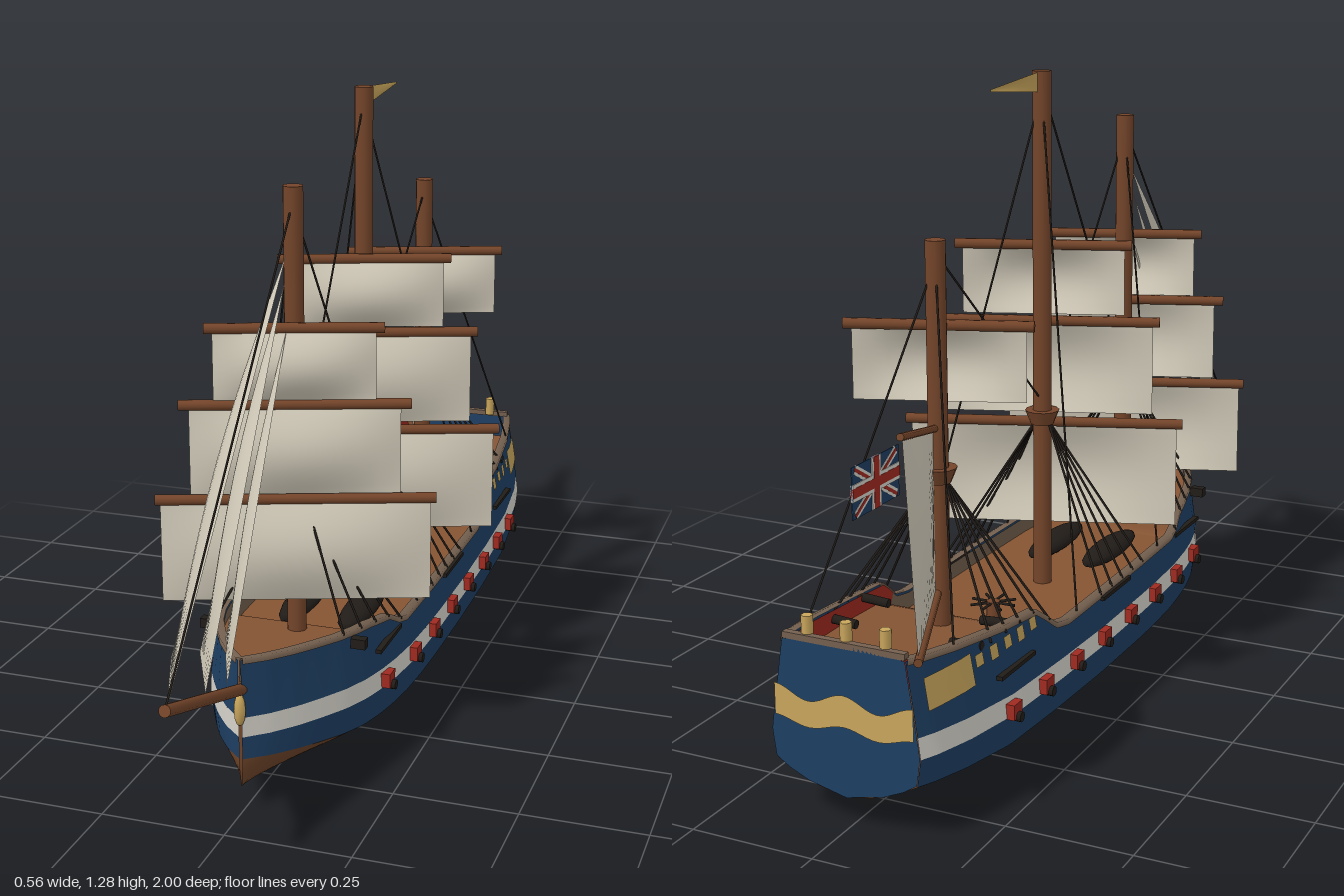
import * as THREE from 'three';

const mat = (name, color, side = THREE.FrontSide) => {
  const m = new THREE.MeshStandardMaterial({ color, side });
  m.name = name;
  return m;
};
const D2 = THREE.DoubleSide;
const M = {
  wood: mat('spar wood', 0x74452a, D2),
  deck: mat('deck planks', 0x855433, D2),
  bottom: mat('hull bottom brown', 0x6e4429, D2),
  blue: mat('hull blue', 0x1e3f63, D2),
  white: mat('stripe white', 0xd6d3ca, D2),
  sail: mat('sail canvas', 0xd0c9b8, D2),
  red: mat('bulwark red', 0xa02a20, D2),
  gold: mat('gilding', 0xc9a65c, D2),
  rail: mat('rail grey brown', 0x74604f, D2),
  black: mat('tarred black', 0x211c18, D2),
};
const V = (x, y, z) => new THREE.Vector3(x, y, z);

// linear lookup in a list of [z, value] pairs, z ascending
const table = (pts) => (z) => {
  if (z <= pts[0][0]) return pts[0][1];
  for (let i = 1; i < pts.length; i++) {
    const [a, va] = pts[i - 1], [b, vb] = pts[i];
    if (z <= b) return va + (vb - va) * (z - a) / (b - a);
  }
  return pts[pts.length - 1][1];
};

// hull lines: half width, keel, waterline, stripe edges, rail and deck heights
const STERN = -0.88, BOW = 0.66;
const W = table([[-.88, .152], [-.84, .165], [-.75, .182], [-.6, .195], [-.4, .2], [0, .2], [.2, .196], [.28, .189],
  [.34, .18], [.4, .166], [.46, .145], [.52, .113], [.57, .083], [.62, .045], [.66, .003]]);
const keel = table([[-.88, .062], [-.7, .025], [-.55, .008], [-.4, 0], [0, 0], [.25, .012], [.45, .028], [.66, .055]]);
const water = table([[-.88, .112], [-.6, .082], [-.2, .07], [.1, .07], [.4, .085], [.66, .112]]);
const stripe = table([[-.88, .165], [-.6, .145], [-.2, .135], [.1, .136], [.4, .145], [.66, .157]]);
const rail = table([[-.88, .345], [-.6, .312], [-.47, .3], [-.44, .28], [-.4, .25], [-.35, .24], [.2, .24],
  [.24, .25], [.28, .272], [.36, .286], [.66, .315]]);
const deckY = table([[-.88, .29], [-.47, .262], [-.455, .2], [.3, .2], [.315, .248], [.66, .27]]);
const STRIPE = 0.04;

function hullX(z, y) {
  const k = keel(z), p = water(z), s = stripe(z), w = W(z);
  if (y < p) return w * .95 * Math.pow(Math.max(0, (y - k) / (p - k)), .6);
  if (y < s) return w * (.95 + .05 * (y - p) / (s - p));
  return w * (1 - Math.max(0, y - .17));
}

// surface through rows of points, each row giving [x, y] at a station z
function loft(z0, z1, n, rows, side = 1) {
  const pos = [], idx = [], c = rows.length;
  for (let i = 0; i <= n; i++) {
    const z = z0 + (z1 - z0) * i / n;
    for (const row of rows) { const [x, y] = row(z); pos.push(x * side, y, z); }
  }
  for (let i = 0; i < n; i++) for (let j = 0; j < c - 1; j++) {
    const a = i * c + j, b = a + 1, d = a + c, e = d + 1;
    if (side > 0) idx.push(a, b, d, b, e, d); else idx.push(a, d, b, b, d, e);
  }
  const g = new THREE.BufferGeometry();
  g.setAttribute('position', new THREE.Float32BufferAttribute(pos, 3));
  g.setIndex(idx);
  g.computeVertexNormals();
  return g;
}

// four-cornered cloth with a belly
function cloth(tl, tr, bl, br, belly, n = 10) {
  const g = new THREE.PlaneGeometry(1, 1, n, n), p = g.attributes.position, uv = g.attributes.uv;
  for (let i = 0; i < p.count; i++) {
    const u = uv.getX(i), v = 1 - uv.getY(i);
    const q = tl.clone().lerp(tr, u).lerp(bl.clone().lerp(br, u), v);
    q.addScaledVector(belly, Math.sin(Math.PI * u) * Math.sin(Math.PI * v));
    p.setXYZ(i, q.x, q.y, q.z);
  }
  g.computeVertexNormals();
  return g;
}

export function createModel() {
  const ship = new THREE.Group();
  ship.name = 'sailingShip';
  const add = (name, geo, m, parent = ship) => {
    const mesh = new THREE.Mesh(geo, m);
    mesh.name = name;
    parent.add(mesh);
    return mesh;
  };
  const rod = (name, a, b, r, m, parent = ship, sides = 10) => {
    const mesh = add(name, new THREE.CylinderGeometry(r, r, a.distanceTo(b), sides), m, parent);
    mesh.position.copy(a).lerp(b, .5);
    mesh.quaternion.setFromUnitVectors(V(0, 1, 0), b.clone().sub(a).normalize());
    return mesh;
  };
  const box = (name, w, h, d, x, y, z, m, parent = ship) => {
    const mesh = add(name, new THREE.BoxGeometry(w, h, d), m, parent);
    mesh.position.set(x, y, z);
    return mesh;
  };
  const rope = (a, b, r = .0022) => rod('rope', a, b, r, M.black, ship, 5);

  // hull planking in painted bands, rail and bulwarks
  const at = (fy) => (z) => [hullX(z, fy(z)), fy(z)];
  const between = (f, g, n) => Array.from({ length: n + 1 }, (_, i) => at((z) => f(z) + (g(z) - f(z)) * i / n));
  const stripeTop = (z) => stripe(z) + STRIPE;
  const inner = (f) => (z) => [Math.max(0, hullX(z, f(z)) - .014), f(z)];
  for (const s of [1, -1]) {
    add('hullBottom', loft(STERN, BOW, 80, between(keel, water, 6), s), M.bottom);
    add('lowerSide', loft(STERN, BOW, 80, between(water, stripe, 2), s), M.blue);
    add('sideStripe', loft(STERN, BOW, 80, between(stripe, stripeTop, 1), s), M.white);
    add('upperSide', loft(STERN, BOW, 150, between(stripeTop, rail, 2), s), M.blue);
    add('capRail', loft(STERN, BOW, 150, [
      (z) => [hullX(z, rail(z)) + .004, rail(z) - .008],
      (z) => [hullX(z, rail(z)) + .004, rail(z) + .004],
      (z) => [Math.max(0, hullX(z, rail(z)) - .014), rail(z) + .004]], s), M.rail);
    add('sternBulwark', loft(STERN, -.42, 50, [inner(rail), inner(deckY)], s), M.red);
    add('waistBulwark', loft(-.42, BOW, 100, [inner(rail), inner(deckY)], s), M.rail);

    // gilded quarter gallery and small windows
    const plate = (z0, z1, y0, y1) => add('galleryPanel', loft(z0, z1, 4,
      [y0, y1].map((y) => (z) => [hullX(z, y) + .004, y]), s), M.gold);
    plate(-.85, -.715, .245, .305);
    [-.69, -.64, -.59, -.54, -.49].forEach((z, i) => plate(z - .013, z + .013, .272 - (i % 2) * .004, .295));

    // gun ports with barrels
    for (const z of [.33, .19, .06, -.075, -.21, -.345, -.48, -.61]) {
      const x = hullX(z, .155);
      box('gunPort', .02, .03, .034, s * (x + .004), .16, z, M.red);
      rod('gunBarrel', V(s * x, .148, z), V(s * (x + .022), .148, z), .01, M.black);
    }
    // deck guns and catheads
    for (const z of [-.55, -.67]) rod('deckGun', V(s * .1, .298, z), V(s * .165, .302, z), .009, M.black);
    box('cathead', .03, .02, .02, s * .158, .275, .43, M.black);
  }
  add('deck', loft(STERN, BOW, 200, [inner(deckY), (z) => [-inner(deckY)(z)[0], deckY(z)]], -1), M.deck);

  // transom with gilded wavy band and lanterns
  const outline = [];
  for (let i = 0; i <= 16; i++) {
    const y = keel(STERN) + (rail(STERN) - keel(STERN)) * i / 16;
    outline.push(new THREE.Vector2(hullX(STERN, y), y));
  }
  const mirrored = outline.slice().reverse().map((p) => new THREE.Vector2(-p.x, p.y));
  const transomShape = new THREE.Shape([...outline, new THREE.Vector2(0, .358), ...mirrored]);
  add('transom', new THREE.ShapeGeometry(transomShape), M.blue).position.z = STERN - .002;
  const top = [], low = [];
  for (let i = 0; i <= 24; i++) {
    const x = -.142 + .284 * i / 24, wave = Math.cos(x * 44) * .012;
    top.push(new THREE.Vector2(x, .248 + wave));
    low.unshift(new THREE.Vector2(x, .192 + wave * .6));
  }
  add('transomBand', new THREE.ShapeGeometry(new THREE.Shape([...top, ...low])), M.gold).position.z = STERN - .006;
  box('taffrail', .25, .012, .014, 0, .352, STERN + .005, M.rail);
  for (const x of [-.08, 0, .08]) {
    rod('sternLantern', V(x, .35, -.868), V(x, .392, -.868), .011, M.gold, ship, 6);
  }
  const figurehead = add('figurehead', new THREE.SphereGeometry(.012, 8, 6), M.gold);
  figurehead.scale.set(1, 2.8, 1);
  figurehead.position.set(0, .215, .662);

  // deck fittings: two boats and a capstan
  for (const s of [1, -1]) {
    const boat = add('shipsBoat', new THREE.SphereGeometry(1, 14, 8), M.black);
    boat.scale.set(.034, .02, .125);
    boat.position.set(s * .065, .218, .13);
  }
  rod('capstan', V(0, .2, -.305), V(0, .235, -.305), .014, M.wood);
  for (let i = 0; i < 4; i++) {
    const c = Math.cos(i * Math.PI / 4) * .048, d = Math.sin(i * Math.PI / 4) * .048;
    rod('capstanBar', V(-c, .232, -.305 - d), V(c, .232, -.305 + d), .003, M.black, ship, 5);
  }

  // masts; each yard is [height, half length, sail foot, sail half width]
  const masts = [
    { name: 'foreMast', z: .35, top: 1.15, yards: [[.535, .275, .325, .265], [.728, .225, .547, .205], [.88, .173, .738, .157]] },
    { name: 'mainMast', z: -.075, top: 1.282, yards: [[.548, .292, .325, .28], [.765, .242, .567, .228], [.925, .183, .778, .168]] },
    { name: 'mizzenMast', z: -.525, top: 1.013, yards: [[.848, .18, .7, .165]] },
  ];
  for (const { name, z, top: h, yards } of masts) {
    rod(name, V(0, .19, z), V(0, h, z), .0195, M.wood, ship, 14);
    const platform = add('mastTop', new THREE.CylinderGeometry(.036, .024, .03, 12), M.wood);
    platform.position.set(0, .565, z);

    // braced yards and their square sails
    const rig = new THREE.Group();
    rig.name = name + 'Sails';
    rig.position.z = z;
    rig.rotation.y = .35;
    ship.add(rig);
    for (const [y, half, foot, w] of yards) {
      rod('yard', V(-half, y, .024), V(half, y, .024), .0105, M.wood, rig);
      add('squareSail', cloth(V(-w, y - .005, .026), V(w, y - .005, .026), V(-w, foot, .028), V(w, foot, .028), V(0, 0, .03)), M.sail, rig);
    }

    // shrouds and backstays
    for (const s of [1, -1]) {
      for (const dz of [.1, .045, -.01, -.065, -.12]) {
        const zz = z + dz, y = Math.min(rail(zz), .3);
        rope(V(s * (hullX(zz, y) + .004), y, zz), V(s * .012, .56, z), .0026);
      }
      box('channel', .012, .008, .14, s * (hullX(z - .05, .23) + .003), .232, z - .05, M.black);
      const back = z - .23;
      rope(V(s * hullX(back, rail(back)), rail(back), back), V(0, h - .04, z));
    }
  }

  // bowsprit and stays
  rod('bowsprit', V(0, .235, .6), V(0, .367, .995), .0115, M.wood);
  rope(V(0, 1.11, .36), V(0, .372, .99));
  rope(V(0, 1.24, -.065), V(0, .61, .33));
  rope(V(0, .98, -.515), V(0, .61, -.09));

  // headsails
  const jib = (head, tack, clew, belly) => add('headsail', cloth(head, head, tack, clew, V(belly, 0, 0)), M.sail);
  jib(V(0, 1.03, .385), V(0, .368, .985), V(-.138, .3, .66), -.025);
  jib(V(-.004, .97, .39), V(0, .318, .82), V(-.105, .29, .6), -.02);
  jib(V(-.002, .88, .385), V(0, .29, .72), V(-.07, .3, .56), -.015);

  // gaff sail behind the aft mast
  rod('gaff', V(0, .657, -.535), V(-.1, .732, -.838), .007, M.wood);
  rod('boom', V(0, .332, -.535), V(-.158, .352, -.893), .008, M.wood);
  add('gaffSail', cloth(V(0, .655, -.545), V(-.1, .728, -.832), V(0, .338, -.545), V(-.152, .358, -.882), V(-.015, 0, 0)), M.sail);

  // ensign: crosses laid over a blue field
  const ensign = new THREE.Group();
  ensign.name = 'ensign';
  ensign.position.set(-.1, .677, -.922);
  ship.add(ensign);
  const bar = (m, t, h, l, angle = 0) => { box('flagBar', t, h, l, 0, 0, 0, m, ensign).rotation.x = angle; };
  bar(M.blue, .002, .09, .152);
  for (const a of [.535, -.535]) {
    bar(M.white, .003, .016, .154, a);
    bar(M.red, .004, .006, .158, a);
  }
  bar(M.white, .005, .03, .152);
  bar(M.white, .005, .09, .03);
  bar(M.red, .006, .017, .152);
  bar(M.red, .006, .09, .017);

  // masthead pennant
  add('pennant', cloth(V(0, 1.28, -.09), V(0, 1.264, -.3), V(0, 1.24, -.09), V(0, 1.26, -.3), V(.004, 0, 0), 4), M.gold);
  return ship;
}
